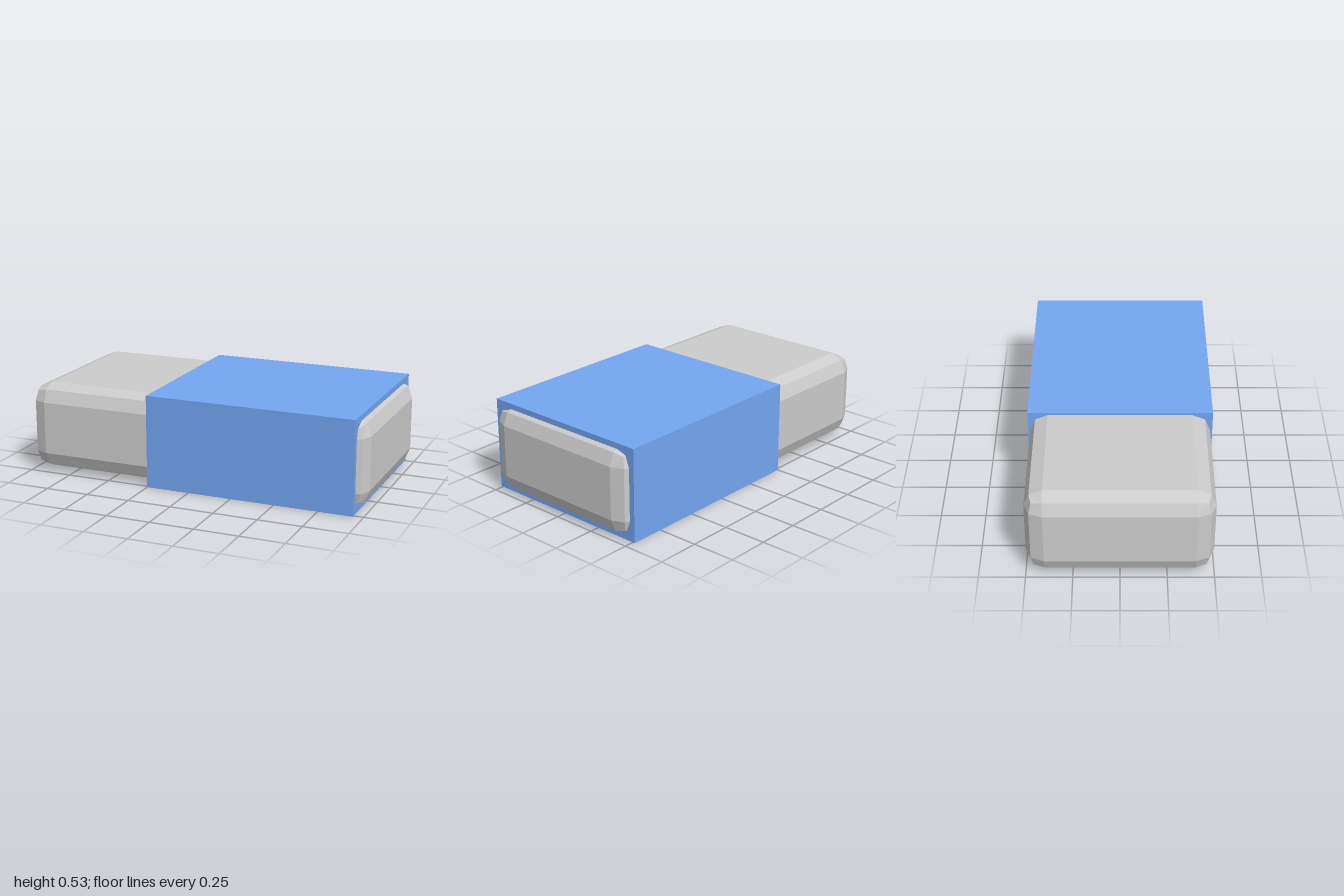
import * as THREE from 'three';
import { RoundedBoxGeometry } from 'three/addons/geometries/RoundedBoxGeometry.js';

const CENTRE_Y = 0.2635;

export function createModel() {
  const group = new THREE.Group();
  group.name = 'eraser';

  // Rubber block, every edge bevelled in two flat steps
  const rubber = new THREE.Mesh(
    new RoundedBoxGeometry(2, 0.5, 1, 1, 0.1),
    new THREE.MeshStandardMaterial({ color: 0xcccccc, flatShading: true })
  );
  rubber.name = 'rubberBlock';
  rubber.position.y = CENTRE_Y;
  group.add(rubber);

  // Sharp-edged sleeve, set towards the +x end
  const start = -0.25, end = 0.945;
  const sleeve = new THREE.Mesh(
    new THREE.BoxGeometry(end - start, CENTRE_Y * 2, 1.026),
    new THREE.MeshStandardMaterial({ color: 0x74a6f1 })
  );
  sleeve.name = 'sleeve';
  sleeve.position.set((start + end) / 2, CENTRE_Y, 0);
  group.add(sleeve);

  return group;
}
